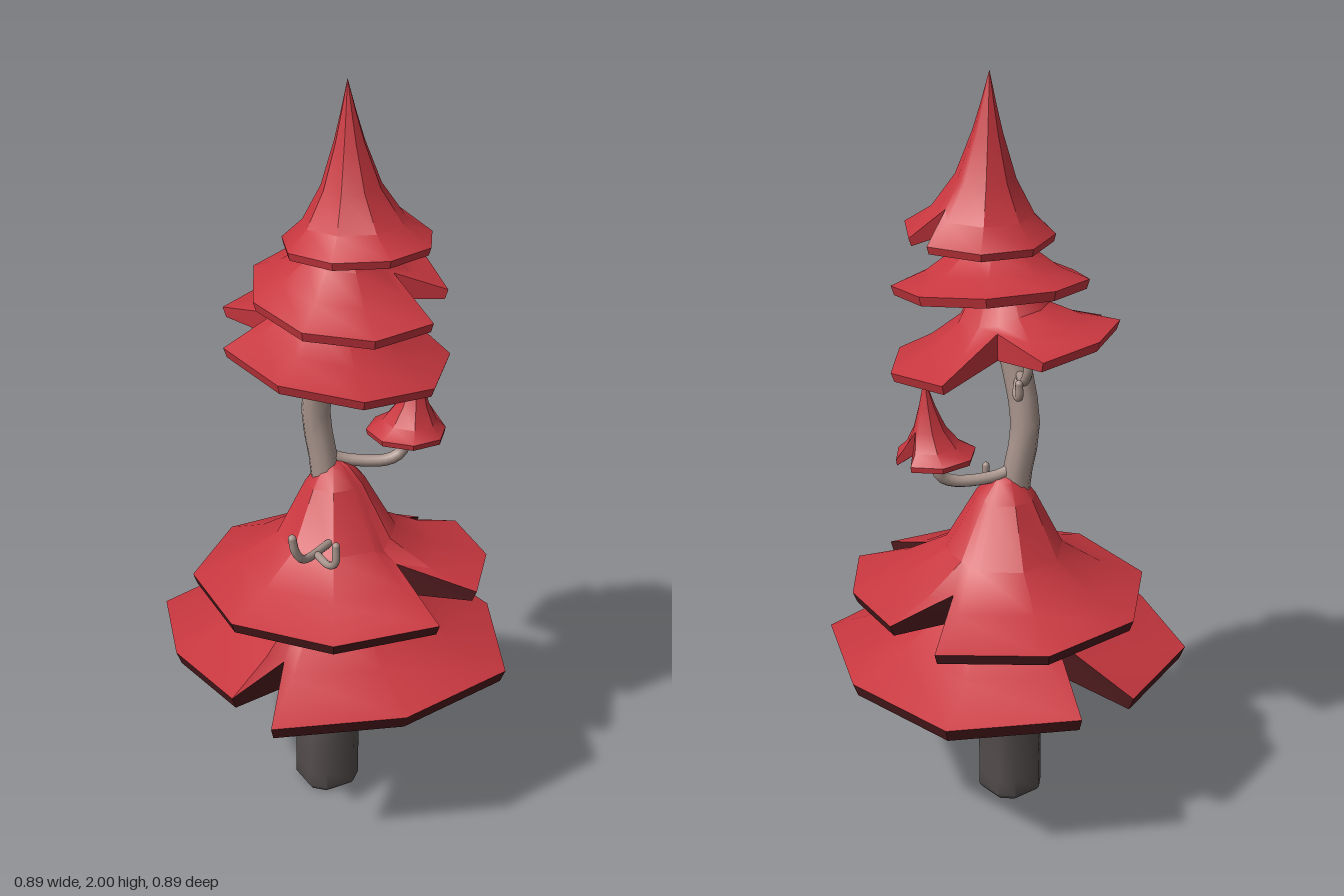
import * as THREE from 'three';
import { toCreasedNormals } from 'three/addons/utils/BufferGeometryUtils.js';

const mat = (name, color) => {
  const m = new THREE.MeshStandardMaterial({ color });
  m.name = name;
  return m;
};

// Concave cone profiles: height at each ring from centre to rim
const RINGS = [0, 0.1, 0.2, 0.4, 0.68, 1];
const SKIRT = [1, 0.94, 0.8, 0.36, 0.15, 0];
const SPIRE = [1, 0.8, 0.62, 0.34, 0.12, 0];

function profile(heights, s) {
  let i = 1;
  while (i < RINGS.length - 1 && RINGS[i] < s) i++;
  return THREE.MathUtils.mapLinear(s, RINGS[i - 1], RINGS[i], heights[i - 1], heights[i]);
}

// Rim corners, counter-clockwise from above. Each flap spans two angles in
// degrees and is followed by a notch reaching in to the given depth.
function makeRim({ center, radius, flaps, square = 0 }) {
  const rim = [];
  const corner = (deg, lift, depth) => {
    const a = THREE.MathUtils.degToRad(deg);
    const r = radius * (1 + square * Math.sin(2 * a) ** 2);
    rim.push({ x: center[0] + r * Math.cos(a), z: center[1] - r * Math.sin(a), lift, depth });
  };
  flaps.forEach(({ from, to, steps, lift = [0, 0], notch }, i) => {
    for (let j = 0; j <= steps; j++) {
      const t = j / steps;
      corner(THREE.MathUtils.lerp(from, to, t), THREE.MathUtils.lerp(lift[0], lift[1], t), 1);
    }
    const next = i + 1 < flaps.length ? flaps[i + 1].from : flaps[0].from + 360;
    corner((to + next) / 2, 0, notch);
  });
  return rim;
}

function meshFromTriangles(name, tris, material) {
  let g = new THREE.BufferGeometry();
  g.setAttribute('position', new THREE.Float32BufferAttribute(tris.flat(), 3));
  g = toCreasedNormals(g, 0.6);
  const m = new THREE.Mesh(g, material);
  m.name = name;
  return m;
}

// One notched skirt: concave top, narrow rim band and shallow hollow underside
function makeTier(name, t, topMat, underMat) {
  const rim = makeRim(t);
  const [ax, az] = t.apex, [tx, tz] = t.tilt || [0, 0];
  const point = (p, s, low) => {
    const u = Math.min(s, p.depth), q = u * (low ? 0.97 : 1);
    const dx = (p.x - ax) * q, dz = (p.z - az) * q;
    const rise = t.height * profile(t.heights, u) * (low ? 0.4 : 1);
    return [ax + dx, t.y + rise + dx * tx + dz * tz + p.lift * u - (low ? t.thick : 0), az + dz];
  };
  const top = [], under = [];
  rim.forEach((a, i) => {
    const b = rim[(i + 1) % rim.length];
    for (let j = 0; j < RINGS.length - 1; j++) {
      const s = RINGS[j], e = RINGS[j + 1];
      for (const low of [false, true]) {
        const a0 = point(a, s, low), a1 = point(a, e, low), b0 = point(b, s, low), b1 = point(b, e, low);
        const out = low ? under : top;
        if (s < a.depth) out.push(...(low ? [a0, b1, a1] : [a0, a1, b1]));
        if (s > 0 && s < b.depth) out.push(...(low ? [a0, b0, b1] : [a0, b1, b0]));
      }
    }
    const at = point(a, 1), bt = point(b, 1), al = point(a, 1, true), bl = point(b, 1, true);
    under.push(at, al, bl, at, bl, bt);
  });
  const g = new THREE.Group();
  g.name = name;
  g.add(meshFromTriangles('foliageTop', top, topMat), meshFromTriangles('foliageUnderside', under, underMat));
  return g;
}

// Round limb along a smooth path, with a rounded tip
function makeLimb(name, r, material, ...pts) {
  const path = new THREE.CatmullRomCurve3(pts.map(p => new THREE.Vector3(...p)));
  const g = new THREE.Group();
  g.name = name;
  const tip = new THREE.Mesh(new THREE.SphereGeometry(r, 10, 6), material);
  tip.position.set(...pts[pts.length - 1]);
  tip.name = name + 'Tip';
  const tube = new THREE.Mesh(new THREE.TubeGeometry(path, 16, r, 10), material);
  tube.name = name + 'Tube';
  g.add(tube, tip);
  return g;
}

// Chamfered square trunk base that leans toward its top
function makeTrunkBase(material) {
  const pts = [];
  for (let i = 0; i < 4; i++) for (const d of [-15, 15]) {
    const a = THREE.MathUtils.degToRad(45 + i * 90 + d);
    pts.push(new THREE.Vector2(0.078 * Math.cos(a), 0.078 * Math.sin(a)));
  }
  let g = new THREE.ExtrudeGeometry(new THREE.Shape(pts), {
    depth: 0.395, steps: 8, bevelEnabled: true, bevelSize: 0.008, bevelThickness: 0.012, bevelSegments: 1 });
  g.rotateX(-Math.PI / 2).translate(0, 0.012, 0);
  const p = g.attributes.position;
  for (let i = 0; i < p.count; i++) {
    const k = THREE.MathUtils.smoothstep(p.getY(i), 0.12, 0.42), w = 1 - 0.14 * k;
    p.setXYZ(i, p.getX(i) * w - 0.03 + 0.027 * k, p.getY(i), p.getZ(i) * w + 0.006);
  }
  g = toCreasedNormals(g, 0.9);
  const m = new THREE.Mesh(g, material);
  m.name = 'trunkBase';
  return m;
}

export function createModel() {
  const red = mat('red foliage', 0xc8373f);
  const dark = mat('dark red underside', 0x4e1b1e);
  const bark = mat('pale bark', 0xa8948c);
  const base = mat('dark bark', 0x544d4d);
  const tree = new THREE.Group();
  tree.name = 'tree';

  // Broad lower tiers with dark undersides
  tree.add(makeTier('lowestTier', {
    apex: [0, 0], center: [0, 0], radius: 0.445, square: 0.1, y: 0.455, height: 0.4, thick: 0.035, heights: SKIRT,
    flaps: [{ from: 99, to: 208, steps: 3, lift: [0, 0.05], notch: 0.62 },
      { from: 222, to: 437, steps: 5, notch: 0.52 }] }, red, dark));
  tree.add(makeTier('secondTier', {
    apex: [0.01, -0.03], center: [0.02, -0.01], radius: 0.395, y: 0.625, height: 0.35, thick: 0.03, heights: SKIRT,
    flaps: [{ from: 27, to: 281, steps: 6, lift: [0, 0.025], notch: 0.5 },
      { from: 305, to: 367, steps: 2, lift: [0.05, 0.04], notch: 0.57 }] }, red, dark));

  // Tilted upper tiers and the crown
  tree.add(makeTier('thirdTier', {
    apex: [0, 0], center: [0, 0], radius: 0.295, y: 1.305, height: 0.25, thick: 0.025, heights: SKIRT,
    tilt: [-0.1, -0.12],
    flaps: [{ from: 70, to: 138, steps: 2, lift: [0.03, 0.03], notch: 0.52 },
      { from: 171, to: 381, steps: 5, notch: 0.47 }] }, red, red));
  tree.add(makeTier('fourthTier', {
    apex: [0.01, 0.02], center: [0.02, 0.025], radius: 0.25, y: 1.455, height: 0.27, thick: 0.025, heights: SKIRT,
    tilt: [0.02, -0.14],
    flaps: [{ from: 326, to: 658, steps: 8, lift: [0.03, 0], notch: 0.5 }] }, red, red));
  tree.add(makeTier('crownTier', {
    apex: [0.01, 0.04], center: [0.028, 0.062], radius: 0.193, y: 1.6, height: 0.4, thick: 0.02, heights: SPIRE,
    tilt: [0, 0.06],
    flaps: [{ from: 11, to: 349, steps: 8, notch: 0.6 }] }, red, red));

  // Small sapling on a branch
  tree.add(makeTier('saplingTier', {
    apex: [0.213, 0.05], center: [0.185, 0.045], radius: 0.106, y: 1.045, height: 0.215, thick: 0.015, heights: SPIRE,
    tilt: [-0.04, 0],
    flaps: [{ from: 17, to: 343, steps: 7, notch: 0.4 }] }, red, red));
  tree.add(makeLimb('saplingBranch', 0.016, bark, [-0.01, 0.985, -0.04], [0.04, 0.965, -0.02],
    [0.14, 0.962, 0.03], [0.175, 0.985, 0.042], [0.185, 1.06, 0.045]));

  // Dark trunk base and curved pale upper trunk
  tree.add(makeTrunkBase(base));
  tree.add(makeLimb('upperTrunk', 0.038, bark, [0, 0.4, 0], [-0.012, 0.95, -0.04],
    [-0.028, 1.1, -0.056], [-0.022, 1.26, -0.025], [0, 1.42, 0.01]));

  // Forked twigs on the right and at the back
  tree.add(makeLimb('sideTwig', 0.011, bark, [-0.06, 0.79, 0.08], [-0.18, 0.81, 0.155],
    [-0.203, 0.84, 0.16], [-0.212, 0.88, 0.16]));
  tree.add(makeLimb('sideTwigFork', 0.01, bark, [-0.13, 0.802, 0.14], [-0.13, 0.802, 0.2],
    [-0.126, 0.82, 0.228], [-0.125, 0.87, 0.23]));
  tree.add(makeLimb('backTwig', 0.012, bark, [-0.02, 1.24, -0.04], [0.03, 1.25, -0.12],
    [0.04, 1.285, -0.148], [0.04, 1.365, -0.15]));
  tree.add(makeLimb('backTwigFork', 0.01, bark, [-0.01, 1.235, -0.05], [0.03, 1.207, -0.09],
    [0.045, 1.212, -0.12], [0.05, 1.25, -0.125]));
  return tree;
}
